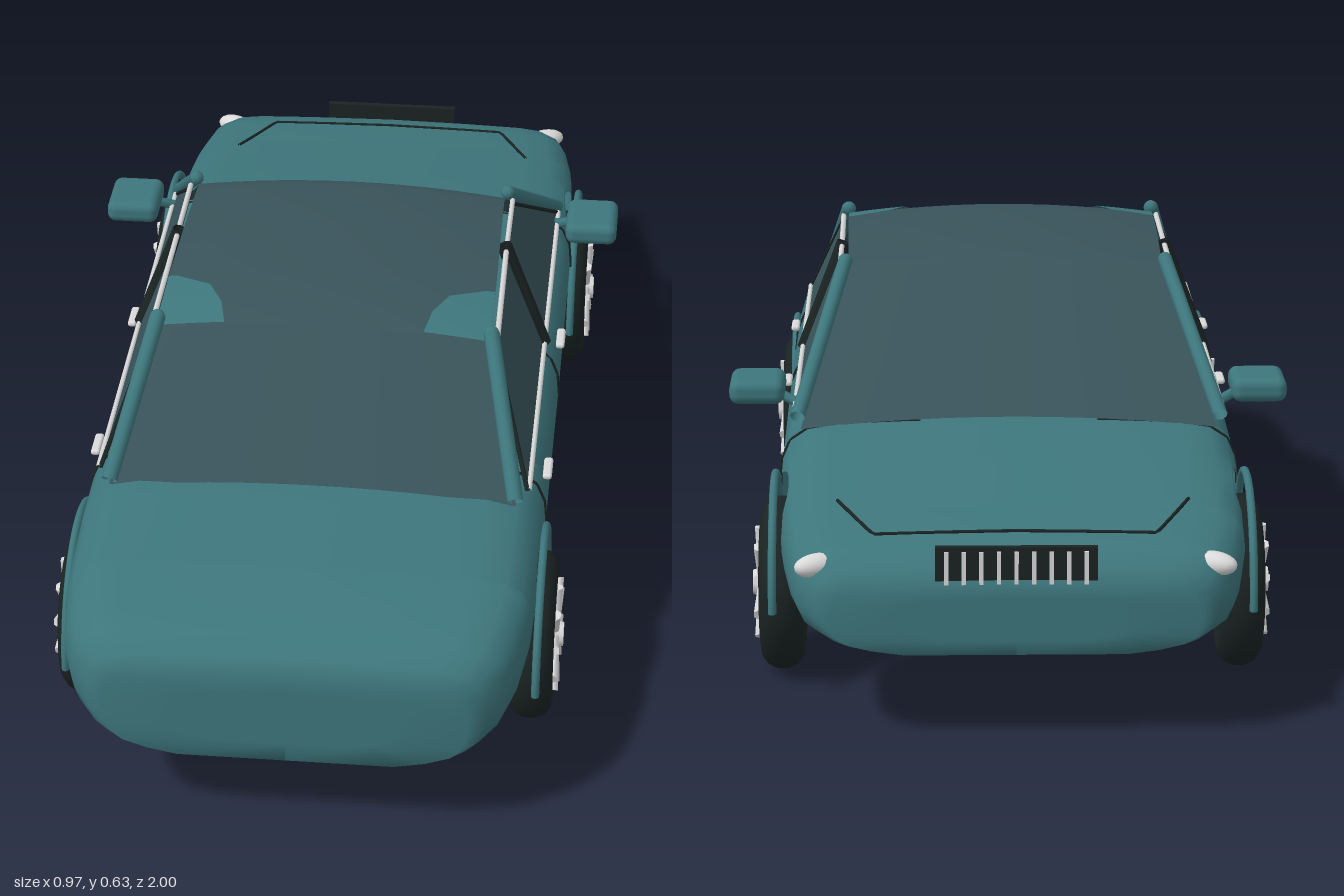
import * as THREE from 'three';
import { RoundedBoxGeometry } from 'three/addons/geometries/RoundedBoxGeometry.js';

const mat = (name, color, side = THREE.FrontSide) => {
  const m = new THREE.MeshStandardMaterial({ color, side });
  m.name = name;
  return m;
};

// Linear lookup: rows start with an ascending key, column k is returned
const lookup = (rows, key, k) => {
  if (key <= rows[0][0]) return rows[0][k];
  for (let i = 1; i < rows.length; i++) {
    const a = rows[i - 1], b = rows[i];
    if (key <= b[0]) return a[k] + (b[k] - a[k]) * (key - a[0]) / (b[0] - a[0]);
  }
  return rows[rows.length - 1][k];
};

// Body stations: z, top height, half width, bottom height
const STATIONS = [
  [-1, 0.265, 0.30, 0.15], [-0.985, 0.292, 0.325, 0.15], [-0.95, 0.315, 0.355, 0.153], [-0.9, 0.327, 0.368, 0.16],
  [-0.8, 0.34, 0.382, 0.172], [-0.6, 0.374, 0.392, 0.16], [-0.45, 0.398, 0.395, 0.15], [0, 0.412, 0.397, 0.145],
  [0.45, 0.414, 0.397, 0.15], [0.6, 0.408, 0.397, 0.16], [0.8, 0.393, 0.392, 0.175], [0.9, 0.378, 0.378, 0.168],
  [0.95, 0.364, 0.36, 0.16], [0.985, 0.342, 0.33, 0.152], [1, 0.318, 0.30, 0.148],
];
// Half cross-section: depth fraction from the top, width fraction
const SECTION = [[0, 0], [0.015, 0.45], [0.035, 0.75], [0.07, 0.88], [0.15, 0.955], [0.28, 0.99], [0.45, 1],
  [0.62, 0.99], [0.76, 0.96], [0.86, 0.9], [0.94, 0.77], [1, 0.6], [1, 0]];
const TOP_SECTION = SECTION.slice(0, 7).map(([u, w]) => [w, u]);
const ARCHES = [0.6, -0.59], ARCH_R = 0.188;

const station = z => [1, 2, 3].map(k => lookup(STATIONS, z, k));
const sideX = (z, y) => {
  const [t, w, b] = station(z);
  return w * lookup(SECTION, (t - y) / (t - b), 1);
};
const topY = (x, z) => {
  const [t, w, b] = station(z);
  return t - (t - b) * lookup(TOP_SECTION, Math.abs(x) / w, 1);
};

// Lower edge of the side panel: wheel arches and open sills
const lowerEdge = z => {
  if (Math.abs(z) > 0.787) return 0;
  let y = 0.19;
  for (const c of ARCHES) {
    const d = ARCH_R ** 2 - (z - c) ** 2;
    if (d > 0) y = Math.max(y, 0.15 + Math.sqrt(d));
  }
  return y;
};

const bodyRing = z => {
  const [t, w, b] = station(z);
  const limit = Math.min(1, (t - lowerEdge(z)) / (t - b));
  const half = SECTION.map(([u, f]) => u < limit || limit === 1
    ? [f * w, t - u * (t - b)]
    : [w * lookup(SECTION, limit, 1), t - limit * (t - b)]);
  return [...half.map(([x, y]) => [-x, y, z]).reverse(), ...half.slice(1).map(([x, y]) => [x, y, z])];
};
// Shrunken end ring that closes the nose or tail
const capRing = (z, k) => {
  const [t, , b] = station(z), mid = (t + b) / 2;
  return bodyRing(z).map(([x, y]) => [x * k, mid + (y - mid) * k, z]);
};

// Skin over a list of equally long point rows
const loft = rows => {
  const n = rows[0].length, index = [];
  for (let i = 0; i < rows.length - 1; i++) for (let j = 0; j < n - 1; j++) {
    const a = i * n + j, b = a + n;
    index.push(a, b, a + 1, a + 1, b, b + 1);
  }
  const g = new THREE.BufferGeometry();
  g.setAttribute('position', new THREE.Float32BufferAttribute(rows.flat(2), 3));
  g.setIndex(index);
  g.computeVertexNormals();
  return g;
};

// Cabin shell: z, centre height, half width
const CABIN = [[-0.45, 0.402, 0.36], [-0.14, 0.612, 0.283], [-0.1, 0.625, 0.282], [0.05, 0.631, 0.285],
  [0.22, 0.633, 0.288], [0.32, 0.622, 0.288], [0.37, 0.608, 0.288], [0.575, 0.412, 0.35]];
const cabinPoint = (z, f, lift = 0) =>
  [f * lookup(CABIN, z, 2), lookup(CABIN, z, 1) - 0.02 * f * f + lift, z];
const cabinRow = z => Array.from({ length: 13 }, (_, i) => cabinPoint(z, i / 6 - 1));

const windowX = y => 0.368 - (y - 0.41) * 0.39;

export function createModel() {
  const car = new THREE.Group();
  car.name = 'sedan';
  const paint = mat('teal paint', 0x3d767c, THREE.DoubleSide);
  const glass = mat('tinted glass', 0x39535a, THREE.DoubleSide);
  const black = mat('black rubber', 0x1b2323, THREE.DoubleSide);
  const silver = mat('silver trim', 0xdadada);

  const add = (name, geo, material, x = 0, y = 0, z = 0, parent = car) => {
    const m = new THREE.Mesh(geo, material);
    m.name = name;
    m.position.set(x, y, z);
    parent.add(m);
    return m;
  };
  // Straight-segmented rod through points
  const rod = (name, pts, r, material, sides = 6) => {
    const path = new THREE.CurvePath();
    const v = pts.map(p => new THREE.Vector3(...p));
    for (let i = 1; i < v.length; i++) path.add(new THREE.LineCurve3(v[i - 1], v[i]));
    return add(name, new THREE.TubeGeometry(path, pts.length * 6, r, sides), material);
  };

  // Body shell, with dense stations around the arches and rounded ends
  const zs = [...STATIONS.map(s => s[0]).filter(z => Math.abs(z) > 0.79), -0.3, -0.1, 0.1, 0.3, 0.788, -0.788, 0.786, -0.786];
  for (const c of ARCHES) for (let i = 0; i <= 28; i++) zs.push(c + ARCH_R * 0.985 * Math.cos(Math.PI * i / 28));
  zs.sort((a, b) => a - b);
  add('bodyShell', loft([capRing(-1, 0), capRing(-1, 0.6), ...zs.map(bodyRing), capRing(1, 0.6), capRing(1, 0)]), paint);

  // Windscreen, roof and rear window
  const span = (a, b) => CABIN.map(s => s[0]).filter(z => z >= a && z <= b).map(cabinRow);
  add('windscreen', loft(span(-0.45, -0.14)), glass);
  add('roof', loft(span(-0.14, 0.37)), glass);
  add('rearWindow', loft(span(0.37, 0.6)), glass);

  // Underbody
  add('floor', new THREE.BoxGeometry(0.65, 0.01, 0.8), silver, 0, 0.157, 0);

  for (const s of [1, -1]) {
    const side = s > 0 ? 'left' : 'right';

    // Painted rear roof corners, with a slanted inner edge
    const corner = [[0.24, 0.95], [0.27, 0.73], [0.32, 0.64], [0.37, 0.6]].map(([z, inner]) =>
      [0, 0.33, 0.67, 1].map(t => cabinPoint(z, s * (1 + (inner - 1) * t), 0.004)));
    add(side + 'RoofCorner', loft(corner), paint);

    // Pillars
    rod(side + 'FrontPillar', [[s * 0.365, 0.405, -0.455], [s * 0.287, 0.61, -0.13]], 0.013, paint, 10);
    rod(side + 'RearPillar', [[s * 0.348, 0.405, 0.58], [s * 0.29, 0.605, 0.365]], 0.014, paint, 10);
    add(side + 'RearPillarTip', new THREE.SphereGeometry(0.014, 10, 8), paint, s * 0.29, 0.605, 0.365);
    add(side + 'FrontPillarTip', new THREE.SphereGeometry(0.013, 10, 8), paint, s * 0.287, 0.61, -0.13);
    rod(side + 'CentrePillar', [[s * 0.368, 0.405, 0.055], [s * 0.292, 0.605, 0.055]], 0.014, black, 8);

    // Side windows with frames and bright trim
    const panes = { Rear: [[0.555, 0.412], [0.375, 0.585], [0.07, 0.593], [0.07, 0.412]],
      Front: [[-0.42, 0.412], [-0.12, 0.593], [0.04, 0.593], [0.04, 0.412]] };
    for (const [end, pts] of Object.entries(panes)) {
      const p = pts.map(([z, y]) => [s * windowX(y), y, z]);
      add(side + end + 'Window', loft([[p[0], p[1]], [p[3], p[2]]]), glass);
      rod(side + end + 'WindowFrame', [p[0], p[1], p[2], p[3]], 0.004, black);
      rod(side + end + 'SillTrim', [p[0], p[3]].map(([x, y, z]) => [x + s * 0.003, y, z]), 0.005, silver);
      rod(side + end + 'UpperTrim', [p[1], p[2]].map(([x, y, z]) => [x, y + 0.007, z]), 0.005, silver);
    }

    // Door seams and handles
    for (const [z, low] of [[0.476, 0.3], [0.05, 0.193], [-0.444, 0.28]]) {
      const pts = Array.from({ length: 15 }, (_, i) => {
        const y = 0.395 + (low - 0.395) * i / 14;
        return [s * (sideX(z, y) + 0.001), y, z];
      });
      rod(side + 'DoorSeam', pts, 0.003, black);
    }
    for (const z of [0.41, -0.03])
      add(side + 'DoorHandle', new RoundedBoxGeometry(0.016, 0.011, 0.06, 2, 0.005), silver, s * 0.396, 0.365, z);

    // Sill bars
    rod(side + 'UpperSill', [[s * 0.365, 0.177, 0.42], [s * 0.365, 0.177, -0.42]], 0.005, silver);
    rod(side + 'LowerSill', [[s * 0.33, 0.153, 0.4], [s * 0.33, 0.153, -0.4]], 0.011, silver, 10);

    // Door mirror
    add(side + 'Mirror', new RoundedBoxGeometry(0.096, 0.042, 0.118, 3, 0.016), paint, s * 0.437, 0.434, -0.35);
    rod(side + 'MirrorStem', [[s * 0.365, 0.41, -0.38], [s * 0.41, 0.43, -0.36]], 0.009, paint);

    // Headlight
    const lamp = add(side + 'Headlight', new THREE.SphereGeometry(1, 16, 12), silver, s * 0.318, 0.286, -0.948);
    lamp.scale.set(0.042, 0.02, 0.022);
    lamp.rotation.y = s * 0.5;

    // Wheels and arch rims
    for (const z of ARCHES) {
      const end = z > 0 ? 'Rear' : 'Front';
      const rim = add(side + end + 'ArchRim', new THREE.TorusGeometry(0.186, 0.007, 8, 28, Math.PI), paint, s * 0.4, 0.15, z);
      rim.rotation.y = Math.PI / 2;

      const wheel = new THREE.Group();
      wheel.name = side + end + 'Wheel';
      wheel.position.set(s * 0.388, 0.15, z);
      wheel.rotation.y = s > 0 ? 0 : Math.PI;
      car.add(wheel);
      const profile = [[0, -0.03], [0.1, -0.03], [0.11, -0.038], [0.127, -0.035], [0.14, -0.025], [0.147, -0.01],
        [0.147, 0.01], [0.14, 0.025], [0.127, 0.035], [0.11, 0.038], [0.1, 0.03], [0, 0.03]].map(p => new THREE.Vector2(...p));
      const tyre = add('tyre', new THREE.LatheGeometry(profile, 36), black, 0, 0, 0, wheel);
      tyre.rotation.z = -Math.PI / 2;
      const hub = add('hub', new THREE.CylinderGeometry(0.021, 0.027, 0.024, 16), silver, 0.039, 0, 0, wheel);
      hub.rotation.z = -Math.PI / 2;
      for (let i = 0; i < 10; i++) {
        const spoke = new THREE.CylinderGeometry(0.01, 0.006, 0.075, 6).translate(0, 0.06, 0);
        add('spoke', spoke, silver, 0.038, 0, 0, wheel).rotation.x = i * Math.PI / 5;
      }
    }
  }

  // Bonnet seam
  const seam = [[-0.29, -0.76], [-0.26, -0.83], [-0.23, -0.9], [-0.1, -0.9], [0, -0.9], [0.1, -0.9], [0.23, -0.9], [0.26, -0.83], [0.29, -0.76]];
  rod('bonnetSeam', seam.map(([x, z]) => [x, topY(x, z) + 0.001, z]), 0.003, black);

  // Grille
  add('grille', new THREE.BoxGeometry(0.26, 0.07, 0.012), black, 0, 0.293, -0.989);
  for (let i = 0; i < 9; i++)
    add('grilleBar', new THREE.BoxGeometry(0.007, 0.056, 0.005), silver, -0.112 + i * 0.028, 0.293, -0.996);

  return car;
}
